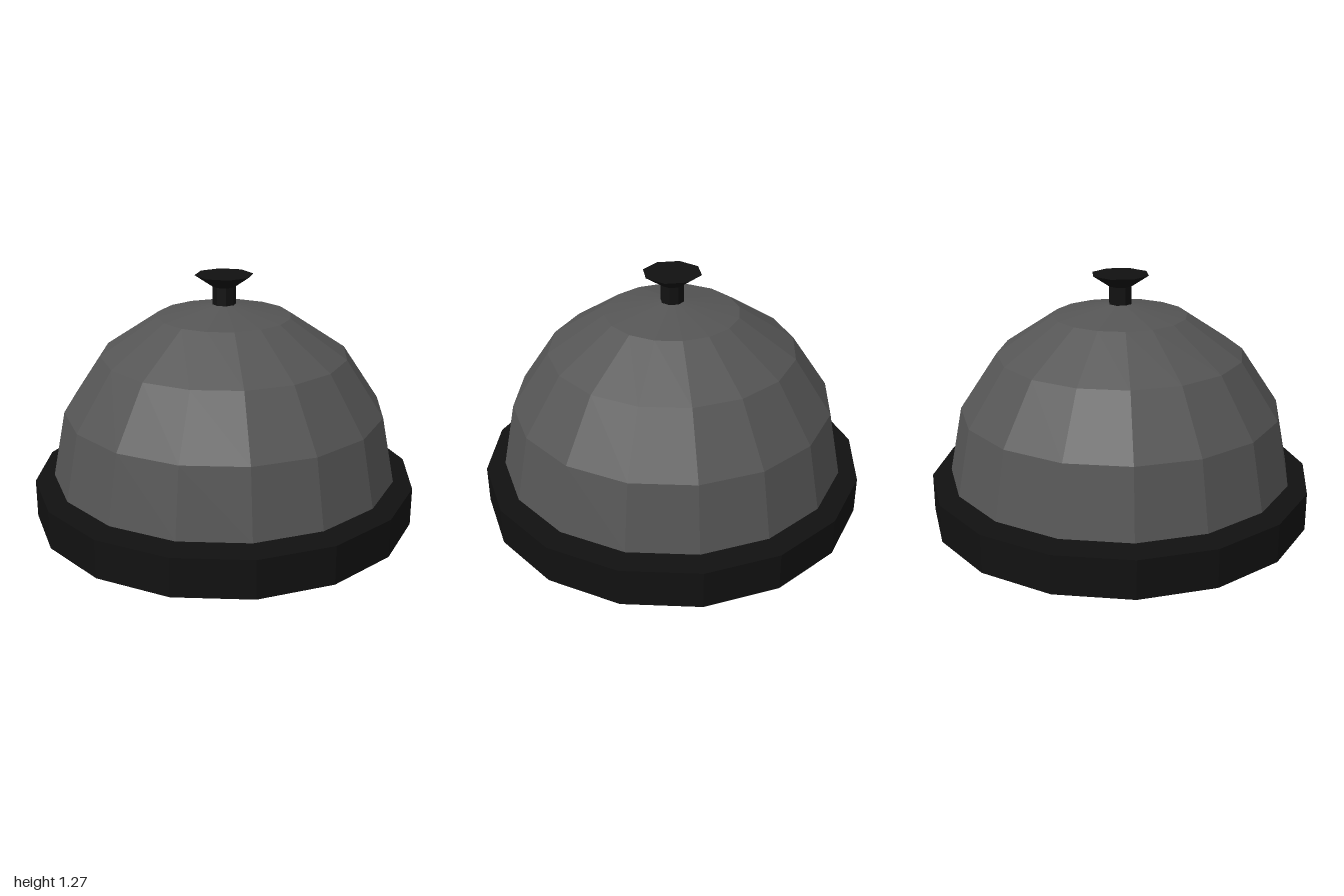
import * as THREE from 'three';

export function createModel() {
  const model = new THREE.Group();
  const black = new THREE.MeshStandardMaterial({ color: 0x111111, flatShading: true });
  const steel = new THREE.MeshStandardMaterial({ color: 0x555555, flatShading: true, side: THREE.DoubleSide });

  const add = (name, geometry, material, y) => {
    const mesh = new THREE.Mesh(geometry, material);
    mesh.name = name;
    mesh.position.y = y;
    model.add(mesh);
  };

  // Sixteen-sided foot
  add('base', new THREE.CylinderGeometry(1, 1, 0.2, 16), black, 0.1);

  // Open hemisphere floating just above the base
  add('bellDome', new THREE.SphereGeometry(0.9, 16, 4, 0, Math.PI * 2, 0, Math.PI / 2), steel, 0.23);

  // Push button: stem and flared cap
  add('buttonStem', new THREE.CylinderGeometry(0.06, 0.06, 0.11, 8), black, 1.155);
  add('buttonCap', new THREE.CylinderGeometry(0.15, 0.06, 0.06, 8), black, 1.24);

  return model;
}
